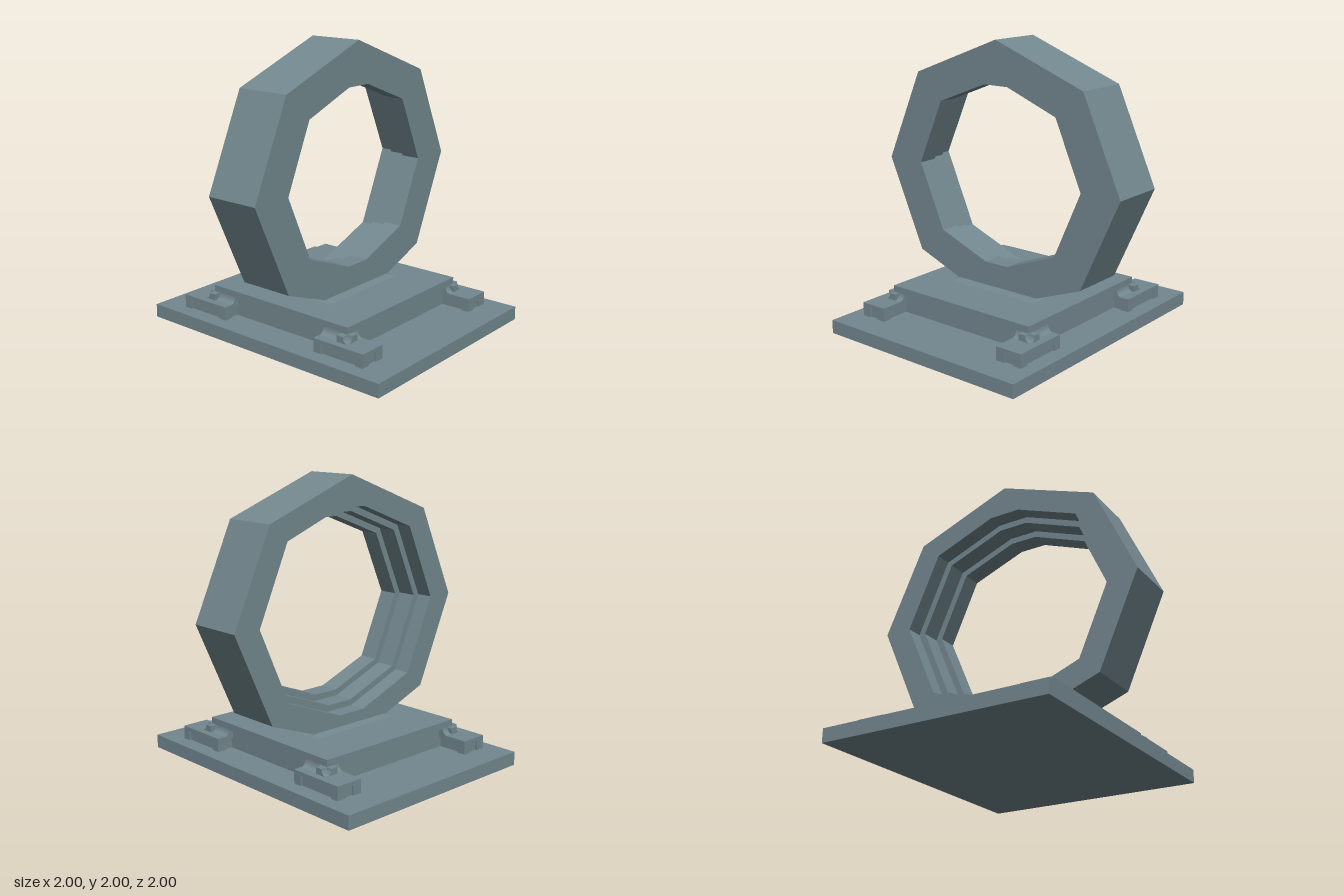
import * as THREE from 'three';

const material = new THREE.MeshStandardMaterial({ color: 0x73888f, flatShading: true });

function add(parent, name, geometry, x = 0, y = 0, z = 0) {
  const mesh = new THREE.Mesh(geometry, material);
  mesh.name = name;
  mesh.position.set(x, y, z);
  parent.add(mesh);
  return mesh;
}

// Box given by its extents on each axis
function block(parent, name, [x0, x1], [y0, y1], [z0, z1]) {
  return add(parent, name, new THREE.BoxGeometry(x1 - x0, y1 - y0, z1 - z0),
    (x0 + x1) / 2, (y0 + y1) / 2, (z0 + z1) / 2);
}

// Low plate whose top is narrower than its bottom
function taper(parent, name, bottom, top, y0, y1) {
  const g = new THREE.BoxGeometry(1, y1 - y0, 1);
  const p = g.attributes.position;
  for (let i = 0; i < p.count; i++) {
    const size = p.getY(i) > 0 ? top : bottom;
    p.setX(i, p.getX(i) * size[0]);
    p.setZ(i, p.getZ(i) * size[1]);
  }
  g.computeVertexNormals();
  return add(parent, name, g, 0, (y0 + y1) / 2, 0);
}

// Concave strip that blends a foot into the plinth; faces +x before turning
function cove(length) {
  const shape = new THREE.Shape();
  shape.moveTo(-0.05, 0);
  shape.lineTo(0.045, 0);
  shape.quadraticCurveTo(0.005, 0.002, 0, 0.045);
  shape.lineTo(-0.05, 0.045);
  const g = new THREE.ExtrudeGeometry(shape, { depth: length, bevelEnabled: false, curveSegments: 5 });
  return g.translate(0, 0, -length / 2);
}

// Slightly squashed octagon standing on a point
function octagon(r, squash) {
  return Array.from({ length: 8 }, (_, i) => {
    const a = i * Math.PI / 4;
    return new THREE.Vector2(Math.cos(a) * r, Math.sin(a) * r * squash);
  });
}

// Octagonal opening with its top and bottom points cut flat
function opening(r) {
  const points = [];
  octagon(r, 0.94).forEach((p, i, all) => {
    if (i === 2 || i === 6) {
      points.push(p.clone().lerp(all[i - 1], 0.2), p.clone().lerp(all[i + 1], 0.2));
    } else points.push(p);
  });
  return new THREE.Path(points);
}

export function createModel() {
  const model = new THREE.Group();

  // Base slab and plinth
  block(model, 'baseSlab', [-0.8, 0.8], [0, 0.095], [-1, 1]);
  block(model, 'plinthBody', [-0.57, 0.57], [0.095, 0.235], [-0.57, 0.57]);
  block(model, 'plinthTop', [-0.6, 0.6], [0.23, 0.28], [-0.6, 0.6]);
  taper(model, 'ringCollar', [0.76, 0.54], [0.66, 0.4], 0.279, 0.29);

  // Corner feet: a cap on posts around a recessed core, with coves up to the plinth
  for (const sx of [-1, 1]) {
    for (const sz of [-1, 1]) {
      const foot = new THREE.Group();
      foot.name = (sz > 0 ? 'front' : 'back') + (sx > 0 ? 'Left' : 'Right') + 'Foot';
      foot.position.set(sx * 0.6, 0, sz * 0.6);
      block(foot, 'footCap', [-0.1, 0.1], [0.165, 0.19], [-0.2, 0.2]);
      block(foot, 'footCore', [-0.085, 0.085], [0.095, 0.166], [-0.185, 0.185]);
      for (const px of [-1, 1]) {
        for (const pz of [-1, 1]) {
          const post = block(foot, 'footPost', [-0.0325, 0.0325], [0.095, 0.166], [-0.03, 0.03]);
          post.position.x = px * 0.0675;
          post.position.z = pz * 0.17;
        }
      }
      const sideCove = add(foot, 'sideCove', cove(0.24), 0, 0.189, sz * -0.08);
      sideCove.rotation.y = sx > 0 ? 0 : Math.PI;
      const endCove = add(foot, 'endCove', cove(0.15), sx * -0.025, 0.189, 0);
      endCove.rotation.y = sz * -Math.PI / 2;
      model.add(foot);
    }
  }

  // Ring in three layers; the opening widens in steps toward the back
  const ring = new THREE.Group();
  ring.name = 'ring';
  ring.position.y = 1.078;
  const layers = [
    ['ringFront', 0.7, 0.06, 0.2],
    ['ringMiddle', 0.75, -0.08, 0.06],
    ['ringBack', 0.8, -0.2, -0.08],
  ];
  for (const [name, inner, z0, z1] of layers) {
    const shape = new THREE.Shape(octagon(1, 0.922));
    shape.holes.push(opening(inner));
    add(ring, name, new THREE.ExtrudeGeometry(shape, { depth: z1 - z0, bevelEnabled: false }), 0, 0, z0);
  }
  model.add(ring);

  return model;
}
